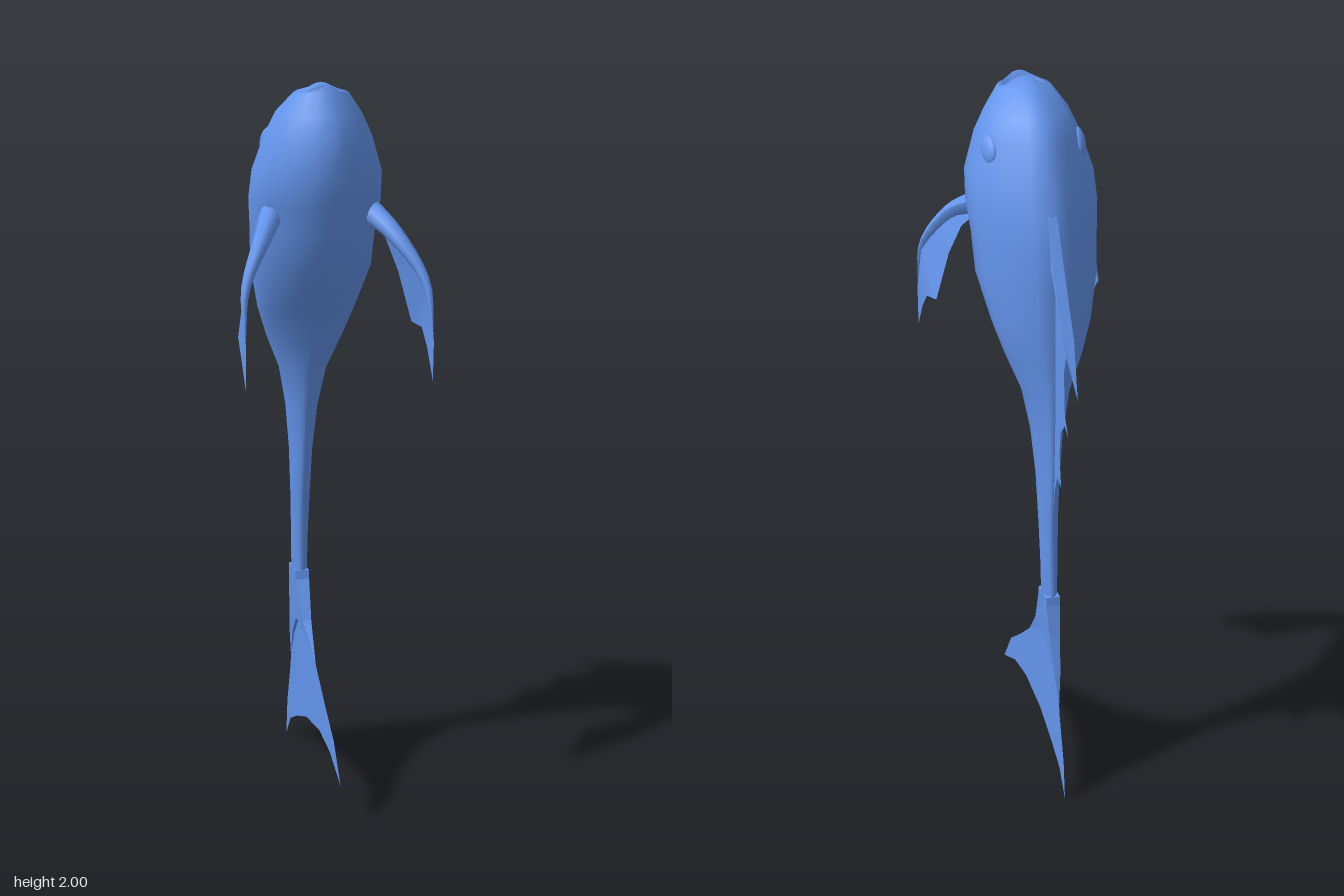
import * as THREE from 'three';

const skin = new THREE.MeshStandardMaterial({ color: 0x6495ed, side: THREE.DoubleSide });

function part(name, geometry) {
  const mesh = new THREE.Mesh(geometry, skin);
  mesh.name = name;
  return mesh;
}

function fromTriangles(positions, index) {
  const g = new THREE.BufferGeometry();
  g.setAttribute('position', new THREE.Float32BufferAttribute(positions, 3));
  g.setIndex(index);
  g.computeVertexNormals();
  return g;
}

// Cross-section: [share of half width, share of depth from back to front]
const half = [[0, 1], [0.3, 0.96], [0.58, 0.89], [0.84, 0.77], [0.98, 0.65], [1, 0.5],
  [0.96, 0.4], [0.8, 0.27], [0.55, 0.16], [0.28, 0.05], [0, 0]];
const section = [...half, ...half.slice(1, -1).reverse().map(([s, t]) => [-s, t])];

// Rings from mouth to tail root: [y, back z, front z, half width, dip at the sides]
const rings = [
  [1.955, 0.155, 0.19, 0.042, 0], [2.0, 0.138, 0.2, 0.05, 0.03], [1.98, 0.075, 0.21, 0.072, 0.005],
  [1.92, -0.025, 0.243, 0.112, 0], [1.86, -0.07, 0.273, 0.14, 0], [1.76, -0.113, 0.277, 0.172, 0],
  [1.68, -0.142, 0.256, 0.176, 0], [1.6, -0.16, 0.226, 0.168, 0], [1.49, -0.166, 0.19, 0.163, 0],
  [1.37, -0.17, 0.1, 0.135, 0], [1.28, -0.17, 0.055, 0.105, 0], [1.18, -0.17, 0.018, 0.064, 0],
  [1.07, -0.167, -0.008, 0.043, 0], [0.94, -0.16, -0.032, 0.031, 0], [0.8, -0.148, -0.057, 0.026, 0],
  [0.68, -0.147, -0.073, 0.023, 0], [0.566, -0.153, -0.074, 0.021, 0], [0.47, -0.158, -0.06, 0.008, 0],
];

function bodyGeometry() {
  const n = section.length, pos = [], index = [];
  for (const [y, back, front, w, dip] of rings)
    for (const [s, t] of section) pos.push(s * w, y - dip * s * s, back + t * (front - back));
  for (let r = 0; r < rings.length - 1; r++)
    for (let i = 0; i < n; i++) {
      const a = r * n + i, b = r * n + (i + 1) % n;
      index.push(a, a + n, b, b, a + n, b + n);
    }
  // Floor of the mouth
  pos.push(0, 1.945, 0.172);
  for (let i = 0; i < n; i++) index.push(rings.length * n, i, (i + 1) % n);
  return fromTriangles(pos, index);
}

// Flat plate in the zy plane; each point is [z, y, half thickness]
function blade(points) {
  const n = points.length, pos = [], index = [];
  for (const side of [1, -1]) for (const [z, y, t = 0] of points) pos.push(side * t, y, z);
  const contour = points.map(([z, y]) => new THREE.Vector2(z, y));
  for (const [a, b, c] of THREE.ShapeUtils.triangulateShape(contour, []))
    index.push(a, c, b, a + n, b + n, c + n);
  for (let i = 0; i < n; i++) {
    const j = (i + 1) % n;
    if (points[i][2] || points[j][2]) index.push(i, j, i + n, j, j + n, i + n);
  }
  const g = fromTriangles(pos, index).toNonIndexed();
  g.computeVertexNormals();
  return g;
}

// Round spine that narrows along its path
function spine(path, r0, r1) {
  const steps = 12, sides = 8;
  const curve = new THREE.CatmullRomCurve3(path.map(p => new THREE.Vector3(...p)));
  const g = new THREE.TubeGeometry(curve, steps, 1, sides);
  const p = g.attributes.position, v = new THREE.Vector3();
  for (let i = 0; i < p.count; i++) {
    const u = Math.floor(i / (sides + 1)) / steps, c = curve.getPointAt(u);
    v.fromBufferAttribute(p, i).sub(c).multiplyScalar(r0 + (r1 - r0) * u).add(c);
    p.setXYZ(i, v.x, v.y, v.z);
  }
  g.computeVertexNormals();
  return g;
}

// Side fin: membrane strip between leading and trailing edges
const lead = [[0.13, 1.69, 0.14], [0.182, 1.62, 0.25], [0.25, 1.487, 0.333], [0.252, 1.34, 0.37], [0.252, 1.233, 0.365]];
const trail = [[0.145, 1.62, 0.14], [0.172, 1.585, 0.165], [0.2, 1.497, 0.2], [0.235, 1.36, 0.21], [0.25, 1.355, 0.26], [0.252, 1.31, 0.307]];

function sideFin(name, s) {
  const flip = ([x, y, z]) => [s * x, y, z];
  const fin = new THREE.Group();
  fin.name = name;
  const pos = [...lead, ...trail].flatMap(flip);
  const index = [0, 5, 1, 1, 5, 6, 1, 6, 2, 2, 6, 7, 2, 7, 8, 2, 8, 9, 2, 9, 3, 3, 9, 10, 3, 10, 4];
  fin.add(part(name + 'Membrane', fromTriangles(pos, index)));
  const path = [[0.125, 1.665, 0.13], [0.18, 1.605, 0.238], [0.243, 1.49, 0.322], [0.252, 1.37, 0.36]];
  fin.add(part(name + 'Spine', spine(path.map(flip), 0.034, 0.002)));
  return fin;
}

function eye(name, s) {
  const mesh = part(name, new THREE.SphereGeometry(1, 20, 14));
  const normal = new THREE.Vector3(s * 0.85, 0.32, -0.42).normalize();
  const long = new THREE.Vector3(s * 0.2, 0.8, 0.55);
  long.addScaledVector(normal, -long.dot(normal)).normalize();
  const across = new THREE.Vector3().crossVectors(long, normal);
  mesh.quaternion.setFromRotationMatrix(new THREE.Matrix4().makeBasis(across, long, normal));
  mesh.scale.set(0.027, 0.041, 0.014);
  mesh.position.set(s * 0.125, 1.838, 0.038);
  return mesh;
}

export function createModel() {
  const fish = new THREE.Group();
  fish.name = 'fish';
  fish.add(part('body', bodyGeometry()));

  // Fin along the back: thick leading edge and scalloped membrane
  fish.add(part('backFinSpine', blade([[-0.12, 1.7, 0.012], [-0.138, 1.69, 0.012], [-0.3, 1.41, 0.012],
    [-0.38, 1.27, 0], [-0.27, 1.375, 0.006], [-0.155, 1.57, 0.012], [-0.12, 1.58, 0.012]])));
  fish.add(part('backFinMembrane', blade([[-0.13, 1.66], [-0.3, 1.4], [-0.38, 1.27], [-0.328, 1.33],
    [-0.27, 1.355], [-0.25, 1.296], [-0.26, 1.18], [-0.296, 1.127], [-0.26, 1.148], [-0.222, 1.116],
    [-0.21, 1.048], [-0.228, 0.95], [-0.19, 0.968], [-0.164, 0.915], [-0.147, 0.82], [-0.12, 0.82]])));

  // Tail: forked fleshy root and thin crescent
  fish.add(part('tailRoot', blade([[-0.074, 0.58, 0.02], [-0.07, 0.555, 0.02], [-0.01, 0.45, 0.012], [0.095, 0.355, 0],
    [-0.048, 0.43, 0.01], [-0.11, 0.423, 0.01], [-0.17, 0.36, 0.006], [-0.217, 0.27, 0],
    [-0.2, 0.36, 0.008], [-0.172, 0.466, 0.015], [-0.154, 0.555, 0.02], [-0.152, 0.58, 0.02]])));
  fish.add(part('tailFin', blade([[-0.05, 0.45], [0.095, 0.355], [0.2, 0.28], [0.307, 0.21], [0.386, 0.11],
    [0.26, 0.16], [0.138, 0.175], [-0.02, 0.153], [-0.138, 0.11], [-0.222, 0.07], [-0.28, 0],
    [-0.265, 0.11], [-0.222, 0.24], [-0.2, 0.36], [-0.12, 0.45]])));

  // Paired parts
  for (const [side, s] of [['left', 1], ['right', -1]]) {
    fish.add(sideFin(side + 'SideFin', s));
    fish.add(eye(side + 'Eye', s));
  }
  return fish;
}
